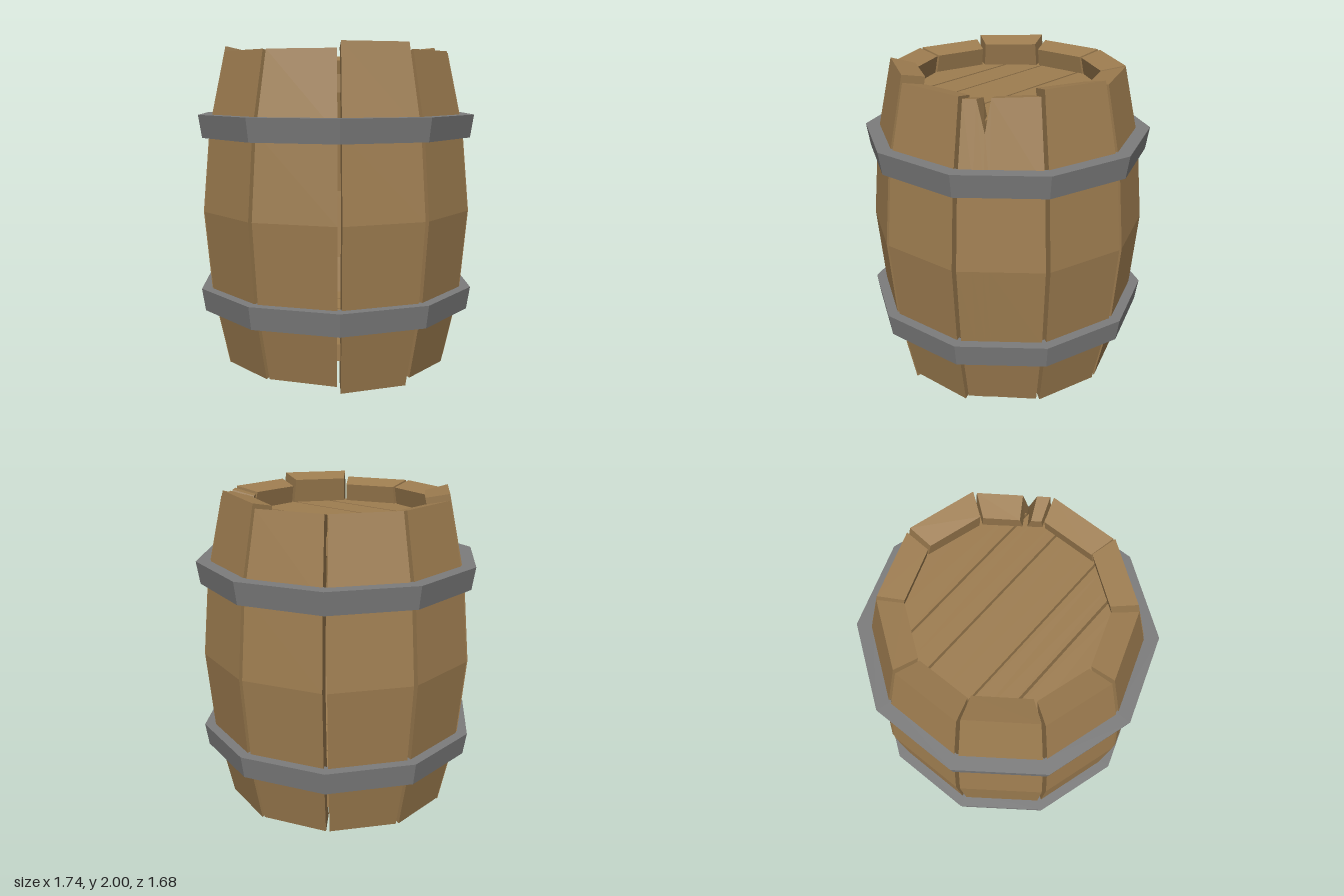
import * as THREE from 'three';

const RAD = Math.PI / 180;
const SIDES = 10, STEP = 36, START = -3, GAP = 0.9; // degrees
const THICK = 0.15;

// outer radius of the barrel near its ends, by distance from mid height
const endRadius = (h) => 0.8 - (h - 0.5) * 0.217;

// closed stave profile: outer side going up, then inner side going down
function staveProfile(bottom, top) {
  const outer = [
    [endRadius(1 - bottom), bottom, -0.21],
    [0.8, 0.5, -0.16],
    [0.845, 1, 0],
    [0.8, 1.5, 0.16],
    [endRadius(top - 1), top, 0.21],
  ];
  const inner = outer.map(([r, y, n]) => [r - THICK * Math.sqrt(1 - n * n), y - THICK * n]);
  return [...outer, ...inner.reverse()];
}

// columns: [position across the stave 0..1, bottom, top]
function staveGeometry(a0, a1, columns) {
  const pos = [];
  const quad = (a, b, c, d) => pos.push(...a, ...b, ...c, ...a, ...c, ...d);
  const cols = columns.map(([u, bottom, top]) =>
    staveProfile(bottom, top).map(([r, y]) => [
      r * THREE.MathUtils.lerp(Math.cos(a0), Math.cos(a1), u),
      y,
      r * THREE.MathUtils.lerp(Math.sin(a0), Math.sin(a1), u),
    ]));
  const n = cols[0].length;
  for (let i = 0; i < cols.length - 1; i++) {
    const A = cols[i], B = cols[i + 1];
    for (let j = 0; j < n; j++) {
      const k = (j + 1) % n;
      quad(A[j], A[k], B[k], B[j]);
    }
  }
  // long edges of the stave
  const F = cols[0], L = cols[cols.length - 1];
  for (let j = 0; j < n / 2 - 1; j++) {
    const p = n - 1 - j;
    quad(F[j], F[p], F[p - 1], F[j + 1]);
    quad(L[j], L[j + 1], L[p - 1], L[p]);
  }
  const g = new THREE.BufferGeometry();
  g.setAttribute('position', new THREE.Float32BufferAttribute(pos, 3));
  g.computeVertexNormals();
  return g;
}

// one lid board: a strip of a disc, slightly skewed
function plankGeometry(x0, x1, skew, thickness) {
  const R = 0.64, N = 4, front = [], back = [];
  for (let i = 0; i <= N; i++) {
    const x = x0 + (x1 - x0) * i / N;
    const z = Math.sqrt(R * R - x * x);
    front.push(new THREE.Vector2(x + skew * z, z));
    back.unshift(new THREE.Vector2(x - skew * z, -z));
  }
  const g = new THREE.ExtrudeGeometry(new THREE.Shape([...front, ...back]),
    { depth: thickness, bevelEnabled: false });
  return g.rotateX(Math.PI / 2);
}

export function createModel() {
  const model = new THREE.Group();
  model.name = 'barrel';
  const wood = new THREE.MeshStandardMaterial({ color: 0x9e7d50 });
  wood.name = 'wood';
  const iron = new THREE.MeshStandardMaterial({ color: 0x7c7c7c });
  iron.name = 'iron';
  const add = (geometry, material, name, parent) => {
    const mesh = new THREE.Mesh(geometry, material);
    mesh.name = name;
    parent.add(mesh);
    return mesh;
  };

  // staves of uneven length; the second has a split in its top edge
  const staves = new THREE.Group();
  staves.name = 'staves';
  model.add(staves);
  const layouts = [
    [[0, 0.04, 1.985], [1, 0.04, 2]],
    [[0, 0.05, 1.965], [0.63, 0.06, 1.955], [0.7, 0.06, 1.77], [0.82, 0.06, 1.95], [1, 0.065, 1.95]],
    [[0, 0.03, 1.96], [1, 0.045, 1.96]],
    [[0, 0, 2], [1, 0, 2]],
    [[0, 0.045, 1.96], [1, 0.05, 1.96]],
    [[0, 0.045, 1.96], [1, 0.04, 1.96]],
    [[0, 0.03, 1.99], [1, 0.02, 1.995]],
    [[0, 0.04, 1.96], [1, 0.04, 1.96]],
    [[0, 0.045, 1.96], [1, 0.05, 1.96]],
    [[0, 0.05, 1.96], [1, 0.05, 1.96]],
  ];
  layouts.forEach((columns, i) => {
    const a = START + STEP * i;
    add(staveGeometry((a + GAP) * RAD, (a + STEP - GAP) * RAD, columns), wood, `stave${i + 1}`, staves);
  });

  // recessed lids at both ends
  const boards = [[-0.61, -0.375], [-0.36, -0.177], [-0.165, 0.106], [0.119, 0.32], [0.333, 0.61]];
  for (const [name, y, skew] of [['topLid', 1.82, 0.015], ['bottomLid', 0.28, -0.01]]) {
    const lid = new THREE.Group();
    lid.name = name;
    lid.position.y = y;
    model.add(lid);
    boards.forEach(([x0, x1], i) => add(plankGeometry(x0, x1, skew, 0.1), wood, `${name}Board${i + 1}`, lid));
  }

  // faceted metal hoops, slightly flared upward
  const section = [[0.775, 0], [0.848, 0], [0.87, 0.138], [0.775, 0.138], [0.775, 0]]
    .map(([r, y]) => new THREE.Vector2(r, y));
  const hoop = new THREE.LatheGeometry(section, SIDES, (90 - START) * RAD).toNonIndexed();
  hoop.computeVertexNormals();
  add(hoop, iron, 'upperHoop', model).position.y = 1.446;
  add(hoop, iron, 'lowerHoop', model).position.y = 0.383;

  return model;
}
